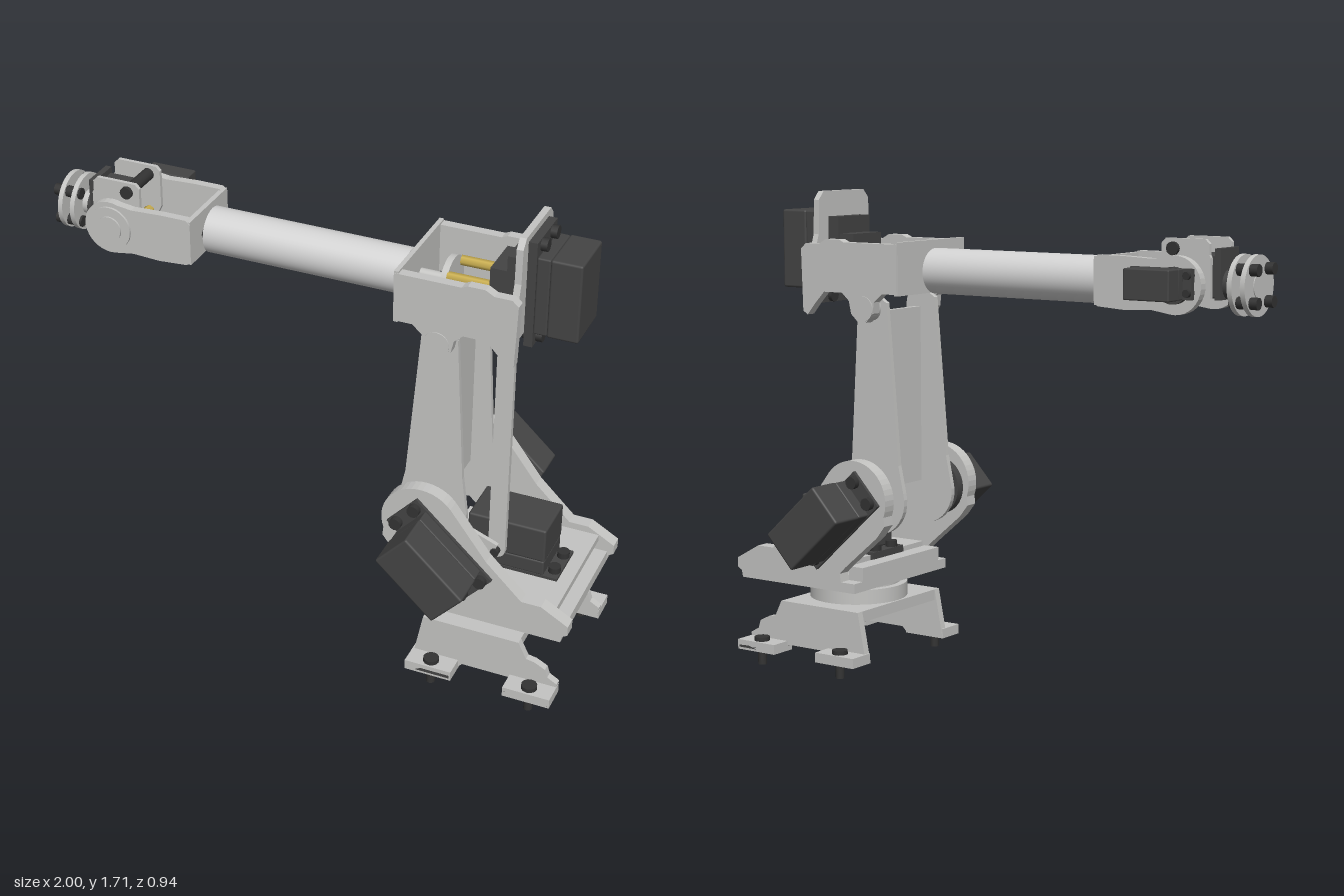
import * as THREE from 'three';
import { RoundedBoxGeometry } from 'three/addons/geometries/RoundedBoxGeometry.js';

const mat = (name, color, side = THREE.FrontSide) => {
  const m = new THREE.MeshStandardMaterial({ color, side });
  m.name = name;
  return m;
};

export function createModel() {
  const metal = mat('brushed aluminium', 0xc4c4c2);
  const tubeMetal = mat('polished tube', 0xd2d2d2);
  const dark = mat('motor black', 0x444444);
  const steel = mat('bolt black', 0x333333);
  const brass = mat('brass', 0xc9ae50);
  const model = new THREE.Group();
  model.name = 'robotArm';

  const add = (parent, name, geo, m) => {
    const mesh = new THREE.Mesh(geo, m);
    mesh.name = name;
    parent.add(mesh);
    return mesh;
  };
  // box given by its minimum and maximum on each axis
  const box = (name, x0, x1, y0, y1, z0, z1, m = metal, parent = model) => {
    const g = new THREE.BoxGeometry(x1 - x0, y1 - y0, z1 - z0);
    return add(parent, name, g.translate((x0 + x1) / 2, (y0 + y1) / 2, (z0 + z1) / 2), m);
  };
  // cylinder along an axis, from a to b, centred on the other two coordinates
  const rod = (name, axis, a, b, p, q, r, m = metal, parent = model, sides = 32) => {
    const g = new THREE.CylinderGeometry(r, r, b - a, sides).translate(0, (a + b) / 2, 0);
    if (axis === 'x') g.rotateZ(-Math.PI / 2).translate(0, p, q);
    else if (axis === 'y') g.translate(p, 0, q);
    else g.rotateX(Math.PI / 2).translate(p, q, 0);
    return add(parent, name, g, m);
  };
  // flat plate with an xy outline between z0 and z1
  const plate = (name, pts, z0, z1, m = metal) => {
    const shape = new THREE.Shape(pts.map(p => new THREE.Vector2(...p)));
    const g = new THREE.ExtrudeGeometry(shape, { depth: z1 - z0, bevelEnabled: false });
    return add(model, name, g.translate(0, 0, z0), m);
  };
  const platePair = (name, pts, z0, z1, m) => {
    plate(name, pts, z0, z1, m);
    plate(name, pts, -z1, -z0, m);
  };
  const arc = (cx, cy, r, from, to, n = 14) => Array.from({ length: n + 1 }, (_, i) => {
    const a = (from + (to - from) * i / n) * Math.PI / 180;
    return [cx + r * Math.cos(a), cy + r * Math.sin(a)];
  });
  // motor: length along x, width along y, body pointing to +z from its flange
  const motor = (name, width, depth = 0.185) => {
    const g = new THREE.Group();
    g.name = name;
    const a = depth * 0.3;
    add(g, 'motorBody', new RoundedBoxGeometry(0.276, width, a, 2, 0.006).translate(0, 0, a / 2), dark);
    add(g, 'motorCover', new RoundedBoxGeometry(0.28, width + 0.004, depth - a, 2, 0.008)
      .translate(0, 0, (depth + a) / 2), dark);
    box('motorFlange', -0.188, 0.188, -width / 2, width / 2, -0.03, 0, dark, g);
    for (const x of [-0.165, 0.165]) for (const y of [-0.047, 0.047])
      rod('flangeBolt', 'z', -0.045, 0.022, x, y, 0.022, steel, g, 12);
    model.add(g);
    return g;
  };

  // base stand with feet and anchor bolts
  box('baseTop', 0.47, 0.82, 0.195, 0.235, -0.245, 0.245);
  platePair('baseSide', [[0.435, 0.055], [0.60, 0.055], [0.62, 0.075], [0.79, 0.075], [0.81, 0.055],
    [0.96, 0.055], [0.965, 0.10], [0.93, 0.12], [0.92, 0.15], [0.88, 0.17], [0.85, 0.175],
    [0.82, 0.235], [0.47, 0.235]], 0.218, 0.245);
  for (const s of [-1, 1]) for (const x of [0.52, 0.88]) {
    box('footPad', x - 0.085, x + 0.085, 0.052, 0.088, s * 0.27 - 0.05, s * 0.27 + 0.05);
    rod('anchorBolt', 'y', 0, 0.06, x, s * 0.285, 0.016, steel, model, 12);
    rod('anchorBoltHead', 'y', 0.088, 0.103, x, s * 0.285, 0.028, steel, model, 12);
    box('anchorStrap', x - 0.08, x + 0.08, 0.06, 0.072, s * 0.29 - 0.03, s * 0.29 + 0.03, dark);
  }

  // turntable
  rod('turntableLower', 'y', 0.235, 0.288, 0.655, 0, 0.178, metal, model, 48);
  rod('turntableUpper', 'y', 0.288, 0.315, 0.655, 0, 0.152, metal, model, 48);

  // rotating shoulder frame
  box('shoulderFloor', 0.46, 0.975, 0.31, 0.35, -0.228, 0.228);
  box('shoulderCrossbar', 0.458, 0.52, 0.35, 0.395, -0.228, 0.228);
  box('waistMotorPlate', 0.53, 0.94, 0.385, 0.41, -0.228, 0.228);
  platePair('shoulderPlate', [[0.46, 0.31], [0.975, 0.31], [0.98, 0.335], [0.998, 0.345], [0.998, 0.38],
    [0.90, 0.435], [0.83, 0.435], [0.70, 0.56], ...arc(0.46, 0.645, 0.14, 40, 200, 20),
    [0.325, 0.565], [0.36, 0.52], [0.50, 0.40], [0.525, 0.375], [0.52, 0.345], [0.46, 0.345]], 0.226, 0.275);
  const tilt = 42.6 * Math.PI / 180;
  const leftMotor = motor('leftShoulderMotor', 0.155);
  leftMotor.position.set(0.535, 0.566, 0.287);
  leftMotor.rotation.z = -tilt;
  const rightMotor = motor('rightShoulderMotor', 0.155);
  rightMotor.position.set(0.535, 0.566, -0.287);
  rightMotor.rotation.set(Math.PI, 0, tilt);
  for (const s of [-1, 1]) {
    rod('shoulderBearing', 'z', s * 0.21 - 0.016, s * 0.21 + 0.016, 0.45, 0.63, 0.105, dark);
    rod('shoulderHorn', 'z', s * 0.172 - 0.025, s * 0.172 + 0.025, 0.45, 0.63, 0.06);
  }
  const waist = motor('waistMotor', 0.178);
  waist.position.set(0.705, 0.42, 0);
  waist.rotation.x = -Math.PI / 2;

  // lower arm: two tapered side plates joined by a web
  platePair('lowerArmPlate', [...arc(0.455, 0.63, 0.125, 165, 375, 20), [0.56, 0.78], [0.527, 1.31],
    ...arc(0.47, 1.31, 0.056, 0, 110, 8), [0.402, 1.33], [0.355, 0.76]], 0.134, 0.152);
  box('lowerArmWeb', 0.465, 0.485, 0.66, 1.295, -0.136, 0.136);

  // parallel link and its crank
  plate('linkRod', [...arc(0.695, 0.535, 0.03, 180, 360), ...arc(0.695, 1.34, 0.03, 0, 180)], 0.14, 0.16);
  const crank = box('linkCrank', 0, 0.26, -0.03, 0.03, 0.162, 0.178);
  crank.position.set(0.45, 0.63, 0);
  crank.rotation.z = -0.37;
  rod('linkPin', 'z', 0.13, 0.185, 0.695, 0.535, 0.015, steel, model, 12);

  // elbow bracket
  platePair('elbowPlate', [[0.322, 1.365], [0.385, 1.365], [0.42, 1.335], [0.425, 1.295], [0.455, 1.262],
    [0.49, 1.262], [0.52, 1.29], [0.53, 1.335], [0.56, 1.362], [0.64, 1.362], [0.68, 1.32], [0.715, 1.278],
    [0.735, 1.29], [0.742, 1.51], [0.72, 1.53], [0.66, 1.53], [0.63, 1.547], [0.57, 1.547],
    [0.55, 1.538], [0.322, 1.538]], 0.165, 0.2);
  box('elbowFrontWall', 0.318, 0.334, 1.36, 1.545, -0.198, 0.198);
  for (const s of [-1, 1])
    rod('elbowPivot', 'z', s * 0.17 - 0.033, s * 0.17 + 0.033, 0.47, 1.31, 0.045);
  // motor mount plate, drawn in its own plane and turned to face x
  plate('elbowMotorMount', [[-0.165, 1.36], [0.165, 1.36], [0.165, 1.50], [0.145, 1.56], [0.142, 1.68],
    [0.115, 1.71], [-0.115, 1.71], [-0.142, 1.68], [-0.145, 1.56], [-0.165, 1.50]], 0.705, 0.728)
    .rotation.y = Math.PI / 2;
  const elbow = motor('elbowMotor', 0.19, 0.152);
  elbow.setRotationFromMatrix(new THREE.Matrix4().makeBasis(
    new THREE.Vector3(0, 1, 0), new THREE.Vector3(0, 0, 1), new THREE.Vector3(1, 0, 0)));
  elbow.position.set(0.758, 1.5, 0);
  box('elbowGearbox', 0.66, 0.706, 1.36, 1.62, -0.09, 0.09, dark);
  box('elbowGearboxNose', 0.60, 0.66, 1.36, 1.56, -0.08, 0.08, dark);
  for (const y of [-0.045, 0.045]) for (const z of [-0.06, 0.06])
    rod('brassSpacer', 'x', 0.45, 0.605, 1.44 + y, z, 0.017, brass, model, 6);
  rod('brassShaft', 'x', 0.45, 0.605, 1.44, 0, 0.018, brass, model, 6);
  rod('elbowHorn', 'x', 0.43, 0.452, 1.44, 0, 0.085);
  rod('elbowShaft', 'x', 0.30, 0.43, 1.44, 0, 0.018);

  // forearm tube
  rod('forearmTube', 'x', -0.425, 0.298, 1.438, 0, 0.08, tubeMetal, model, 48);
  rod('forearmCollar', 'x', -0.445, -0.42, 1.438, 0, 0.018);
  for (const z of [-0.042, 0.042])
    rod('forkBolt', 'x', -0.50, -0.425, 1.438, z, 0.016, steel, model, 12);

  // wrist fork
  box('forkBack', -0.458, -0.44, 1.365, 1.525, -0.14, 0.14);
  platePair('forkSide', [[-0.44, 1.38], [-0.44, 1.515], [-0.455, 1.53], [-0.55, 1.53], [-0.66, 1.525],
    ...arc(-0.745, 1.443, 0.095, 70, 280, 20), [-0.66, 1.36], [-0.56, 1.355], [-0.455, 1.362]], 0.112, 0.142);
  rod('wristBoss', 'z', 0.14, 0.15, -0.743, 1.443, 0.078);
  rod('wristBossCap', 'z', 0.15, 0.156, -0.743, 1.443, 0.045);
  const wrist = motor('wristPitchMotor', 0.165, 0.158);
  wrist.scale.setScalar(0.6);
  wrist.rotation.x = Math.PI;
  wrist.position.set(-0.705, 1.45, -0.165);
  rod('wristMotorHorn', 'z', -0.16, -0.08, -0.743, 1.443, 0.06, dark);

  // inner wrist cradle and roll motor
  platePair('wristCradle', [[-0.84, 1.40], [-0.68, 1.40], [-0.66, 1.44], [-0.66, 1.575], [-0.675, 1.59],
    [-0.82, 1.59], [-0.835, 1.575], [-0.835, 1.54], [-0.84, 1.53]], 0.068, 0.082);
  for (const y of [1.42, 1.555])
    rod('cradleSpacer', 'z', -0.072, 0.072, -0.705, y, 0.018, brass, model, 6);
  rod('cradleBolt', 'z', -0.095, 0.095, -0.705, 1.557, 0.022, steel, model, 12);
  rod('cradlePivot', 'z', 0.08, 0.114, -0.743, 1.443, 0.05);
  add(model, 'wristRollMotor', new RoundedBoxGeometry(0.115, 0.14, 0.115, 2, 0.006)
    .translate(-0.795, 1.47, 0), dark);
  box('wristRollFlange', -0.865, -0.843, 1.395, 1.56, -0.06, 0.06, dark);
  rod('wristRollBearing', 'x', -0.885, -0.86, 1.443, 0, 0.05, dark);

  // tool flange
  rod('toolShaft', 'x', -0.975, -0.88, 1.443, 0, 0.042);
  rod('innerToolDisc', 'x', -0.925, -0.908, 1.443, 0, 0.1, metal, model, 40);
  rod('outerToolDisc', 'x', -0.972, -0.955, 1.443, 0, 0.1, metal, model, 40);
  for (let i = 0; i < 4; i++) {
    const a = Math.PI / 4 + i * Math.PI / 2;
    rod('toolBolt', 'x', -1, -0.90, 1.443 + 0.075 * Math.sin(a), 0.075 * Math.cos(a), 0.02, steel, model, 12);
  }
  return model;
}
